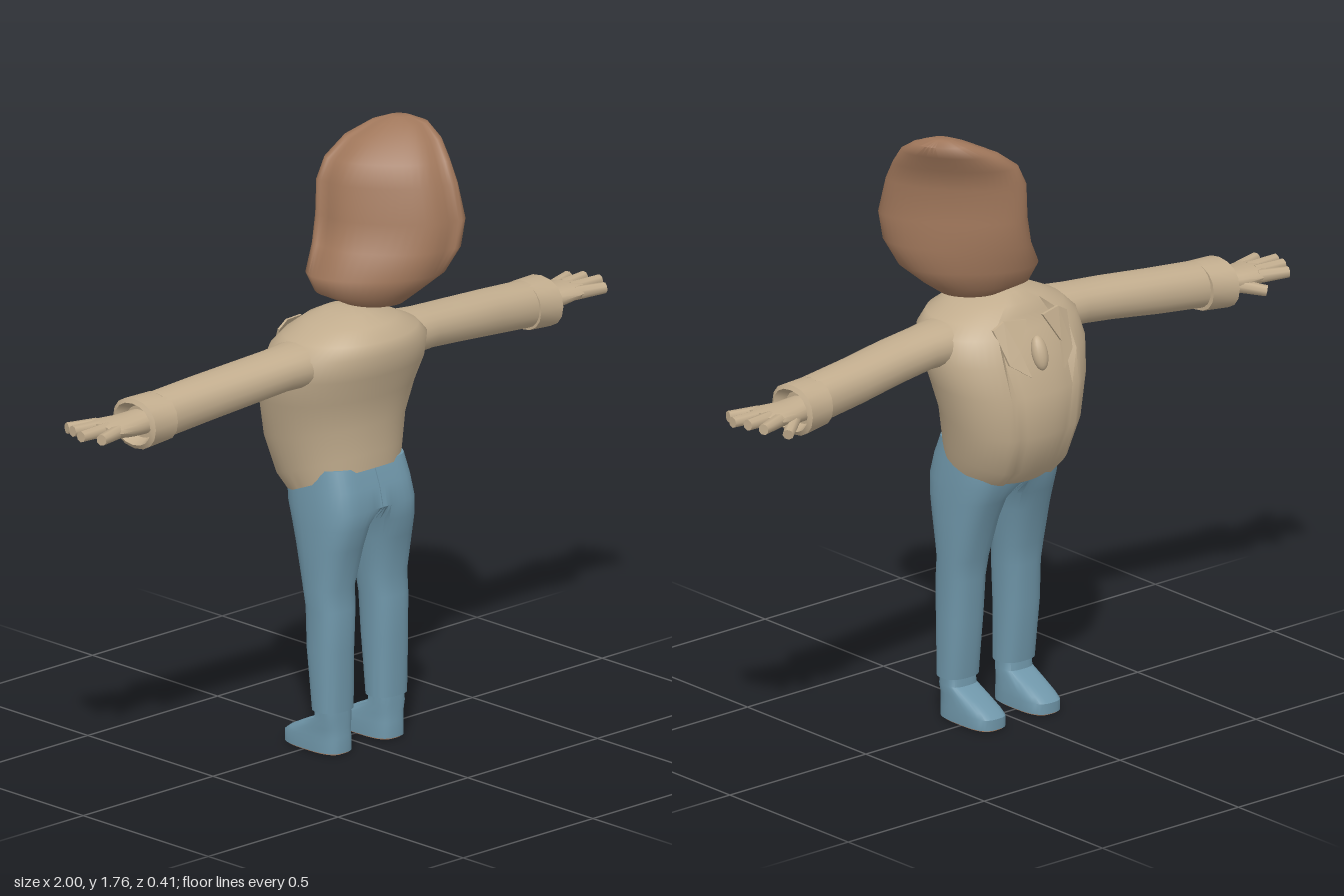
import * as THREE from 'three';
import { toCreasedNormals } from 'three/addons/utils/BufferGeometryUtils.js';

const mat = (name, color) => {
  const m = new THREE.MeshStandardMaterial({ color });
  m.name = name;
  return m;
};

// Skin a stack of rings (arrays of [x, y, z]) and close both ends
function loft(rings, crease = 0.8) {
  const n = rings[0].length, pos = [], idx = [];
  rings.forEach(r => r.forEach(p => pos.push(...p)));
  for (let i = 0; i < rings.length - 1; i++) {
    for (let j = 0; j < n; j++) {
      const a = i * n + j, b = i * n + (j + 1) % n;
      idx.push(a, a + n, b, b, a + n, b + n);
    }
  }
  [0, rings.length - 1].forEach((i, end) => {
    const c = [0, 1, 2].map(k => rings[i].reduce((s, p) => s + p[k], 0) / n);
    const ci = pos.length / 3;
    pos.push(...c);
    for (let j = 0; j < n; j++) {
      const a = i * n + j, b = i * n + (j + 1) % n;
      end ? idx.push(a, ci, b) : idx.push(a, b, ci);
    }
  });
  const g = new THREE.BufferGeometry();
  g.setAttribute('position', new THREE.Float32BufferAttribute(pos, 3));
  g.setIndex(idx);
  return toCreasedNormals(g, crease);
}

// Points round a superellipse: f(cos, sin, angle) places each one
function ring(n, f, pow = 2) {
  const q = v => Math.sign(v) * Math.pow(Math.abs(v), 2 / pow);
  return Array.from({ length: n }, (_, j) => {
    const t = j / n * Math.PI * 2;
    return f(q(Math.cos(t)), q(Math.sin(t)), t);
  });
}

export function createModel() {
  const model = new THREE.Group();
  const brown = mat('brown', 0xa0775b), tan = mat('tan', 0xc2ad8e), blue = mat('blue', 0x6f96a9);
  const add = (name, geo, material, parent = model) => {
    const m = new THREE.Mesh(geo, material);
    m.name = name;
    parent.add(m);
    return m;
  };

  // Twisted slab of hair: y, centre x, centre z, length, thickness, turn in degrees
  const hair = [
    [1.25, 0.09, 0.035, 0.06, 0.05, 40], [1.265, 0.087, 0.034, 0.17, 0.13, 40], [1.3, 0.077, 0.022, 0.3, 0.2, 36],
    [1.35, 0.095, 0.033, 0.39, 0.22, 40], [1.42, 0.13, 0.04, 0.415, 0.2, 49], [1.5, 0.145, 0.04, 0.42, 0.17, 51],
    [1.6, 0.142, 0.03, 0.395, 0.155, 50], [1.66, 0.158, 0.014, 0.35, 0.145, 49], [1.71, 0.195, -0.002, 0.272, 0.13, 51],
    [1.745, 0.23, -0.012, 0.16, 0.09, 51], [1.76, 0.235, -0.015, 0.06, 0.04, 51]];
  add('hair', loft(hair.map(([y, cx, cz, len, th, deg]) => {
    const ca = Math.cos(deg * Math.PI / 180), sa = Math.sin(deg * Math.PI / 180);
    return ring(48, (c, s, t) => {
      // soft groove beside both narrow edges
      const dent = y > 1.38 && s > 0 ? 0.45 * Math.exp(-Math.pow((s - 0.5) / 0.2, 2)) : 0;
      const u = c * len / 2, v = -s * (1 - dent) * th / 2;
      return [cx + u * ca + v * sa, y, cz + u * sa - v * ca];
    }, 2.1);
  }), 1.3), brown);

  // Jacket: y, half width, front z, back z, hem slope
  const jacket = [
    [0.785, 0.13, 0.10, -0.09, 0.4], [0.765, 0.168, 0.14, -0.122, 0.41], [0.82, 0.184, 0.142, -0.168, 0.35],
    [0.92, 0.206, 0.143, -0.208, 0.22], [1.02, 0.234, 0.16, -0.207, 0.1], [1.1, 0.252, 0.185, -0.187, 0.03],
    [1.17, 0.243, 0.2, -0.155, 0], [1.205, 0.205, 0.19, -0.128, 0], [1.238, 0.135, 0.15, -0.09, 0],
    [1.258, 0.065, 0.1, -0.05, 0], [1.266, 0.02, 0.06, -0.01, 0]];
  add('jacket', loft(jacket.map(([y, rx, zf, zb, k]) => ring(60, (c, s, t) => {
    // recessed strip where the jacket hangs open, deeper at the neck
    const open = Math.abs(t - Math.PI * 1.5) < 0.5;
    const inset = open && y < 1.23 ? (y > 1.08 ? 0.03 : 0.01) : 0;
    const z = (zf + zb) / 2 + s * (zf - zb) / 2 + inset;
    return [c * rx, y + k * z, z];
  }, 2.15)), 0.9), tan);

  // Collar flaps and the knot hanging between them
  for (const s of [1, -1]) {
    const flap = new THREE.Shape([[0.03, 1.21], [0.10, 1.215], [0.135, 1.195], [0.115, 1.1], [0.06, 1.06], [0.075, 1.13]]
      .map(([x, y]) => new THREE.Vector2(s * x, y)));
    const g = new THREE.ExtrudeGeometry(flap, { depth: 0.008, bevelEnabled: false });
    const p = g.attributes.position;
    for (let i = 0; i < p.count; i++) {
      const x = p.getX(i), y = p.getY(i);
      p.setZ(i, p.getZ(i) - 0.204 + (y - 1.06) * 0.42 + 1.5 * x * x);
    }
    g.computeVertexNormals();
    add('collarFlap', g, tan);
  }
  const knot = add('neckKnot', new THREE.SphereGeometry(1, 16, 12), tan);
  knot.scale.set(0.024, 0.05, 0.022);
  knot.position.set(0, 1.11, -0.16);
  knot.rotation.x = 0.3;

  // Arms: x, y, z, half height, half depth
  const sleeve = [
    [0.15, 1.145, 0.025, 0.06, 0.085], [0.22, 1.143, 0.025, 0.062, 0.084], [0.28, 1.14, 0.023, 0.059, 0.076],
    [0.4, 1.13, 0.015, 0.061, 0.075], [0.55, 1.115, 0, 0.064, 0.072], [0.71, 1.1, -0.01, 0.066, 0.07]];
  const cuff = [
    [0.7, 1.097, -0.012, 0.058, 0.065], [0.7, 1.097, -0.012, 0.069, 0.08], [0.785, 1.092, -0.018, 0.072, 0.086],
    [0.793, 1.092, -0.018, 0.06, 0.072], [0.76, 1.092, -0.018, 0.045, 0.055]];
  const palm = [
    [0.74, 1.092, -0.02, 0.036, 0.042], [0.82, 1.092, -0.025, 0.03, 0.055],
    [0.88, 1.098, -0.026, 0.024, 0.066], [0.915, 1.101, -0.026, 0.016, 0.062]];
  const fingers = [
    [[0.88, 1.098, -0.07], [0.965, 1.1, -0.102]], [[0.89, 1.102, -0.046], [0.985, 1.106, -0.058]],
    [[0.89, 1.102, -0.014], [0.999, 1.104, -0.01]], [[0.88, 1.098, 0.015], [0.97, 1.1, 0.042]],
    [[0.81, 1.085, -0.055], [0.88, 1.066, -0.108]]];
  for (const s of [1, -1]) {
    const arm = new THREE.Group();
    arm.name = s > 0 ? 'leftArm' : 'rightArm';
    model.add(arm);
    const across = (rows, n) => loft(rows.map(([x, y, z, ry, rz]) =>
      ring(n, (c, k) => [s * x, y + s * k * ry, z + c * rz], 2.2)));
    add('sleeve', across(sleeve, 20), tan, arm);
    add('cuff', across(cuff, 16), tan, arm);
    add('palm', across(palm, 16), tan, arm);
    fingers.forEach(([a, b]) => {
      const from = new THREE.Vector3(s * a[0], a[1], a[2]), to = new THREE.Vector3(s * b[0], b[1], b[2]);
      const dir = to.clone().sub(from);
      const f = add('finger', new THREE.CylinderGeometry(0.016, 0.02, dir.length(), 8), tan, arm);
      f.position.copy(from).addScaledVector(dir, 0.5);
      f.quaternion.setFromUnitVectors(new THREE.Vector3(0, 1, 0), dir.normalize());
    });
  }

  // Legs: y, inner x, outer x, front z, back z, flatness of the inner side (1 joins both halves at the hips)
  const leg = [
    [0.125, 0.043, 0.163, 0.115, 0.02, 0], [0.3, 0.04, 0.168, 0.118, 0, 0], [0.42, 0.035, 0.168, 0.12, -0.006, 0],
    [0.48, 0.029, 0.173, 0.112, -0.014, 0], [0.6, 0.016, 0.173, 0.142, -0.05, 0.1], [0.66, 0.008, 0.172, 0.157, -0.072, 0.3],
    [0.71, 0, 0.17, 0.162, -0.092, 1], [0.77, 0, 0.165, 0.148, -0.1, 1], [0.83, 0, 0.158, 0.125, -0.09, 1]];
  const shoe = [
    [0.004, 0.045, 0.156, 0.113, -0.1, 0], [0.035, 0.045, 0.156, 0.113, -0.1, 0], [0.05, 0.047, 0.154, 0.112, -0.08, 0],
    [0.075, 0.05, 0.153, 0.11, -0.03, 0], [0.1, 0.053, 0.152, 0.11, 0.025, 0], [0.14, 0.055, 0.152, 0.108, 0.03, 0]];
  const sole = [[0, 0.05, 0.151, 0.108, -0.095, 0], [0.008, 0.05, 0.151, 0.108, -0.095, 0]];
  for (const s of [1, -1]) {
    const side = new THREE.Group();
    side.name = s > 0 ? 'leftLeg' : 'rightLeg';
    model.add(side);
    const stack = (rows, pow) => loft(rows.map(([y, xi, xo, zf, zb, flat]) => ring(32, (c, k) => {
      const square = Math.sign(k) * Math.min(1, Math.abs(k) * 4);
      const kz = c * s < 0 ? k + (square - k) * flat : k;
      return [s * (xi + xo) / 2 + c * (xo - xi) / 2, y, (zf + zb) / 2 + kz * (zf - zb) / 2];
    }, pow)));
    add('trouserLeg', stack(leg, 2.5), blue, side);
    add('shoe', stack(shoe, 3), blue, side);
    add('sole', stack(sole, 3), brown, side);
  }
  return model;
}
